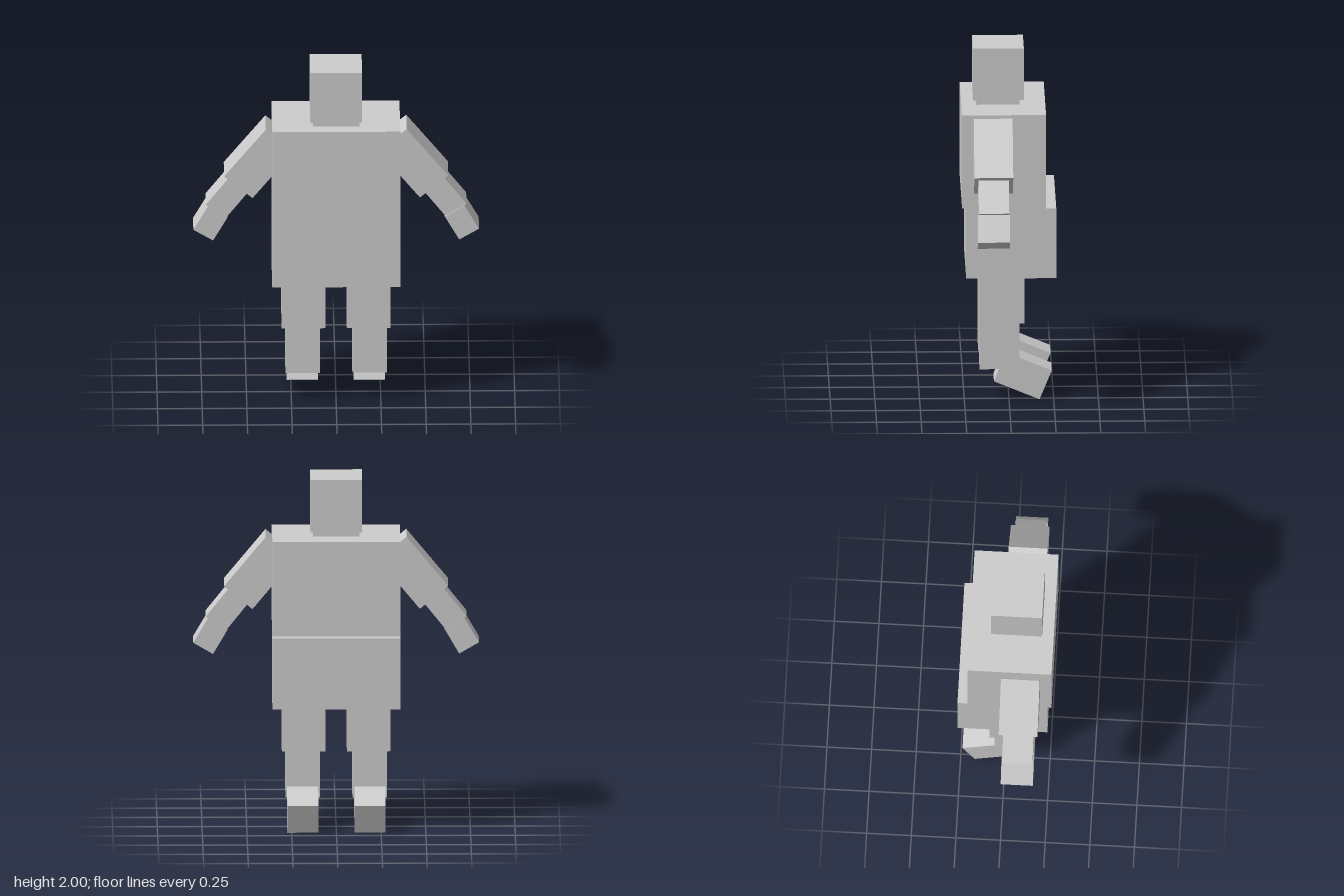
import * as THREE from 'three';

export function createModel() {
  const model = new THREE.Group();
  model.name = 'blockFigure';
  const grey = new THREE.MeshStandardMaterial({ color: 0xcccccc });
  grey.name = 'light grey';

  // Box from its size and centre, with optional tilt about x and z
  function block(name, size, centre, tiltX = 0, tiltZ = 0) {
    const mesh = new THREE.Mesh(new THREE.BoxGeometry(...size), grey);
    mesh.name = name;
    mesh.position.set(...centre);
    mesh.rotation.set(tiltX, 0, tiltZ);
    model.add(mesh);
  }

  // Head, neck and trunk
  block('head', [0.29, 0.3, 0.285], [0, 1.85, 0.057]);
  block('neck', [0.26, 0.06, 0.24], [0, 1.68, 0.06]);
  block('chest', [0.716, 0.54, 0.47], [0, 1.4, 0.029]);
  block('hips', [0.716, 0.405, 0.504], [0, 0.9275, -0.011]);

  for (const [side, s] of [['left', 1], ['right', -1]]) {
    // Arm, angled outward and overlapping at each joint
    block(side + 'UpperArm', [0.206, 0.365, 0.217], [s * 0.431, 1.4535, 0.091], 0, s * 0.692);
    block(side + 'Forearm', [0.138, 0.25, 0.17], [s * 0.597, 1.2545, 0.092], 0, s * 0.675);
    block(side + 'Hand', [0.128, 0.161, 0.18], [s * 0.703, 1.0885, 0.093], 0, s * 0.528);

    // Leg with a foot tilted down towards the back
    block(side + 'Thigh', [0.245, 0.28, 0.25], [s * 0.182, 0.588, 0.04]);
    block(side + 'Shin', [0.193, 0.28, 0.223], [s * 0.187, 0.319, 0.053]);
    block(side + 'Foot', [0.174, 0.18, 0.276], [s * 0.188, 0.137, -0.0775], -0.39);
  }
  return model;
}
